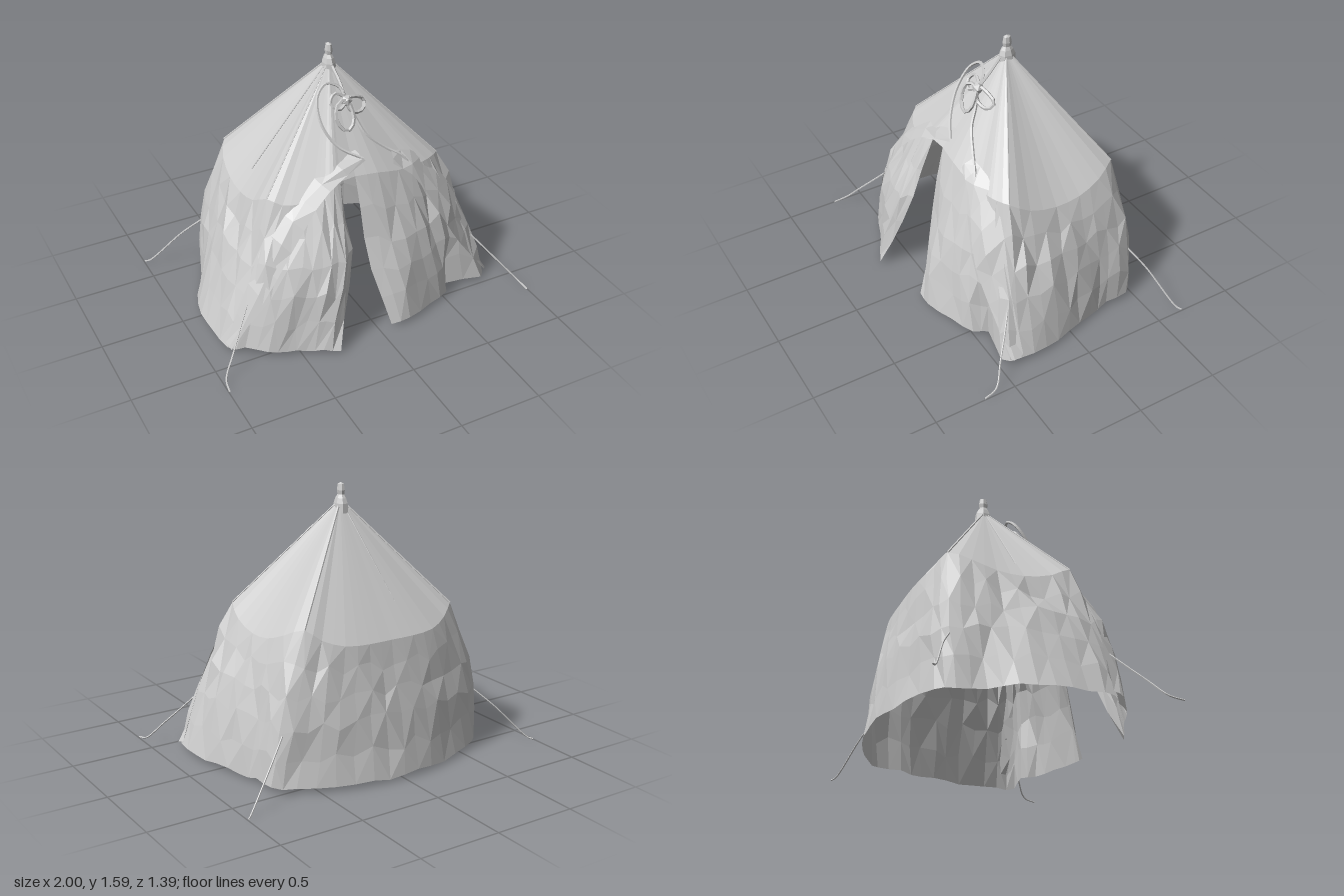
import * as THREE from 'three';

const canvas = new THREE.MeshStandardMaterial({ color: 0xcccccc, flatShading: true, side: THREE.DoubleSide });
canvas.name = 'grey canvas';

const V = (p) => new THREE.Vector3(...p);
const APEX = [0, 1.5, -0.04];

// Small seeded noise for crumpled cloth
let seed = 7;
const jitter = (amount) => {
  seed = (seed * 16807) % 2147483647;
  return (seed / 2147483647 - 0.5) * 2 * amount;
};

// Each station: hem x,z | middle x,z | shoulder x,y,z
const rightFlap = [
  [0.08, 0.61, -0.02, 0.47, -0.04, 0.95, 0.36],
  [0.20, 0.62, 0.14, 0.53, 0.10, 0.94, 0.37],
  [0.38, 0.56, 0.32, 0.51, 0.24, 0.91, 0.36],
  [0.53, 0.50, 0.44, 0.47, 0.34, 0.90, 0.34],
  [0.57, 0.42, 0.56, 0.42, 0.42, 0.90, 0.33],
  [0.80, 0.47, 0.66, 0.40, 0.48, 0.90, 0.31],
];
const sideToBack = [
  [0.86, 0.37, 0.72, 0.33, 0.55, 0.90, 0.27],
  [0.86, 0.20, 0.735, 0.18, 0.58, 0.83, 0.15],
  [0.82, 0.02, 0.73, 0.0, 0.585, 0.79, -0.02],
  [0.77, -0.16, 0.70, -0.18, 0.58, 0.80, -0.18],
  [0.735, -0.30, 0.68, -0.33, 0.56, 0.85, -0.32],
  [0.73, -0.45, 0.66, -0.48, 0.50, 0.90, -0.44],
  [0.62, -0.54, 0.54, -0.54, 0.42, 0.84, -0.49],
  [0.42, -0.63, 0.37, -0.59, 0.30, 0.80, -0.54],
  [0.20, -0.685, 0.18, -0.62, 0.15, 0.79, -0.555],
];
const backMiddle = [[0, -0.70, 0, -0.63, 0, 0.79, -0.555]];
const leftFlap = [
  [-0.78, 0.42, -0.66, 0.42, -0.48, 0.87, 0.33],
  [-0.68, 0.52, -0.55, 0.50, -0.40, 0.87, 0.36],
  [-0.58, 0.56, -0.42, 0.56, -0.32, 0.88, 0.38],
  [-0.48, 0.60, -0.32, 0.59, -0.25, 0.90, 0.39],
  [-0.39, 0.65, -0.23, 0.60, -0.19, 0.93, 0.39],
  [-0.30, 0.69, -0.16, 0.55, -0.14, 0.95, 0.37],
];
// The left wall mirrors the right one, with its hem billowing further out
const billow = [0.01, 0.025, 0.07, 0.07, 0.02, -0.03, 0, 0, 0];
const leftSide = sideToBack.map((s, i) =>
  [-s[0] - billow[i], s[1], -s[2], s[3], -s[4], s[5], s[6]]).reverse();

// Surface through rows of points
function sheet(rows) {
  const n = rows[0].length;
  const index = [];
  for (let j = 0; j < rows.length - 1; j++) {
    for (let i = 0; i < n - 1; i++) {
      const a = j * n + i, b = a + 1, c = b + n, d = a + n;
      if ((i + j) % 2) index.push(a, b, c, a, c, d);
      else index.push(a, b, d, b, c, d);
    }
  }
  const g = new THREE.BufferGeometry().setFromPoints(rows.flat());
  g.setIndex(index);
  g.computeVertexNormals();
  return g;
}

export function createModel() {
  const tent = new THREE.Group();
  tent.name = 'tent';
  const add = (name, geometry) => {
    const m = new THREE.Mesh(geometry, canvas);
    m.name = name;
    tent.add(m);
    return m;
  };
  const rope = (name, pts, r = 0.009, steps = pts.length * 5, closed = false) =>
    add(name, new THREE.TubeGeometry(new THREE.CatmullRomCurve3(pts.map(V), closed), steps, r, 5, closed));

  // Crumpled walls, open at the front
  const stations = [...rightFlap, ...sideToBack, ...backMiddle, ...leftSide, ...leftFlap];
  const ring = (f) => new THREE.CatmullRomCurve3(stations.map((s) => V(f(s))));
  const hem = ring((s) => [s[0], 0.03, s[1]]);
  const middle = ring((s) => [s[2], 0.46, s[3]]);
  const shoulder = ring((s) => [s[4], s[5], s[6]]);
  const COLS = (stations.length - 1) * 2, ROWS = 5;
  const walls = Array.from({ length: ROWS + 1 }, () => []);
  for (let i = 0; i <= COLS; i++) {
    const column = new THREE.CatmullRomCurve3([hem, middle, shoulder].map((c) => c.getPoint(i / COLS)));
    for (let j = 0; j <= ROWS; j++) {
      const p = column.getPoint(j / ROWS);
      if (j > 0 && j < ROWS) p.add(V([jitter(0.011), jitter(0.035), jitter(0.011)]));
      else if (j === 0) p.y += jitter(0.01);
      walls[j].push(p);
    }
  }
  add('walls', sheet(walls));

  // Taut roof fanning from the peak, closed across the doorway
  const eave = [...walls[ROWS], walls[ROWS][0]];
  const peak = V(APEX);
  add('roof', sheet([eave, eave.map((p) => p.clone().lerp(peak, 0.97))]));

  // Folded door covers running down to the front corners
  const fold = (name, lower, upper) => {
    const a = new THREE.CatmullRomCurve3(lower.map(V)).getPoints(9);
    const b = new THREE.CatmullRomCurve3(upper.map(V)).getPoints(9);
    const mid = a.map((p, i) => p.clone().lerp(b[i], 0.5)
      .add(V([jitter(0.008), jitter(0.01), 0.02 + jitter(0.012)])));
    add(name, sheet([a, mid, b]));
  };
  fold('leftDoorCover',
    [[0.2, 0.97, 0.37], [0.33, 0.86, 0.40], [0.5, 0.55, 0.47], [0.62, 0.35, 0.46], [0.85, 0.04, 0.43]],
    [[0.22, 1.02, 0.31], [0.37, 0.97, 0.29], [0.56, 0.78, 0.32], [0.71, 0.47, 0.36], [0.86, 0.06, 0.36]]);
  fold('rightDoorCover',
    [[0.03, 1.03, 0.35], [-0.25, 0.91, 0.41], [-0.45, 0.70, 0.46], [-0.66, 0.38, 0.47], [-0.86, 0.04, 0.41]],
    [[0, 1.07, 0.28], [-0.32, 0.98, 0.28], [-0.54, 0.78, 0.32], [-0.7, 0.48, 0.36], [-0.87, 0.06, 0.35]]);

  // Ridge cords and roof seams
  for (const s of [1, -1]) {
    rope('frontRidge', [APEX, [s * 0.55, 0.9, 0.27]], 0.005, 1);
    rope('backRidge', [APEX, [s * 0.5, 0.9, -0.44]], 0.007, 1);
  }
  rope('sideSeam', [APEX, [-0.5, 0.91, -0.04]], 0.004, 1);
  rope('backSeam', [APEX, [-0.13, 0.875, -0.488]], 0.004, 1);

  // Guy ropes
  for (const s of [1, -1]) {
    rope('frontGuyRope', [[s * 0.74, 0.33, 0.39], [s * 0.82, 0.23, 0.46], [s * 0.9, 0.13, 0.535],
      [s * 0.98, 0.03, 0.61], [s * 0.995, 0.01, 0.69]], 0.005);
    rope('backGuyRope', [[s * 0.67, 0.34, -0.48], [s * 0.78, 0.23, -0.55], [s * 0.97, 0.02, -0.65], [s * 0.995, 0.01, -0.67]], 0.005);
  }

  // Tied peak
  const knob = [[0.055, 1.42], [0.05, 1.48], [0.038, 1.51], [0.024, 1.53], [0.029, 1.555], [0.022, 1.59], [0, 1.6]];
  const top = add('tiedPeak', new THREE.LatheGeometry(knob.map((p) => new THREE.Vector2(...p)), 7));
  top.position.z = -0.045;
  top.scale.x = 0.75;

  // Rope bow and its loose ends
  const knot = add('bowKnot', new THREE.IcosahedronGeometry(0.035, 0));
  knot.position.set(0.01, 1.32, 0.15);
  rope('longLoop', [[0.01, 1.32, 0.15], [-0.01, 1.39, 0.1], [-0.08, 1.415, 0.08], [-0.15, 1.36, 0.11],
    [-0.165, 1.23, 0.19], [-0.1, 1.11, 0.27], [0.02, 1.04, 0.34]]);
  rope('looseEnd', [[0.01, 1.32, 0.15], [0.05, 1.22, 0.19], [0.09, 1.13, 0.24], [0.19, 1.04, 0.29], [0.28, 0.98, 0.33], [0.33, 0.91, 0.36]]);
  rope('lowerLoop', [[0.01, 1.33, 0.16], [-0.06, 1.32, 0.18], [-0.075, 1.23, 0.21], [-0.02, 1.17, 0.23], [0.03, 1.21, 0.21]], 0.011, 12, true);
  rope('sideLoop', [[0.01, 1.33, 0.15], [0.08, 1.32, 0.13], [0.14, 1.28, 0.12], [0.12, 1.24, 0.15], [0.04, 1.25, 0.17]], 0.011, 12, true);
  rope('smallLoop', [[0.01, 1.33, 0.15], [-0.05, 1.37, 0.13], [-0.09, 1.33, 0.15], [-0.05, 1.29, 0.18]], 0.01, 12, true);
  rope('peakTie', [[0.01, 1.32, 0.15], [0.01, 1.4, 0.07], [0, 1.47, 0]], 0.01);
  return tent;
}
